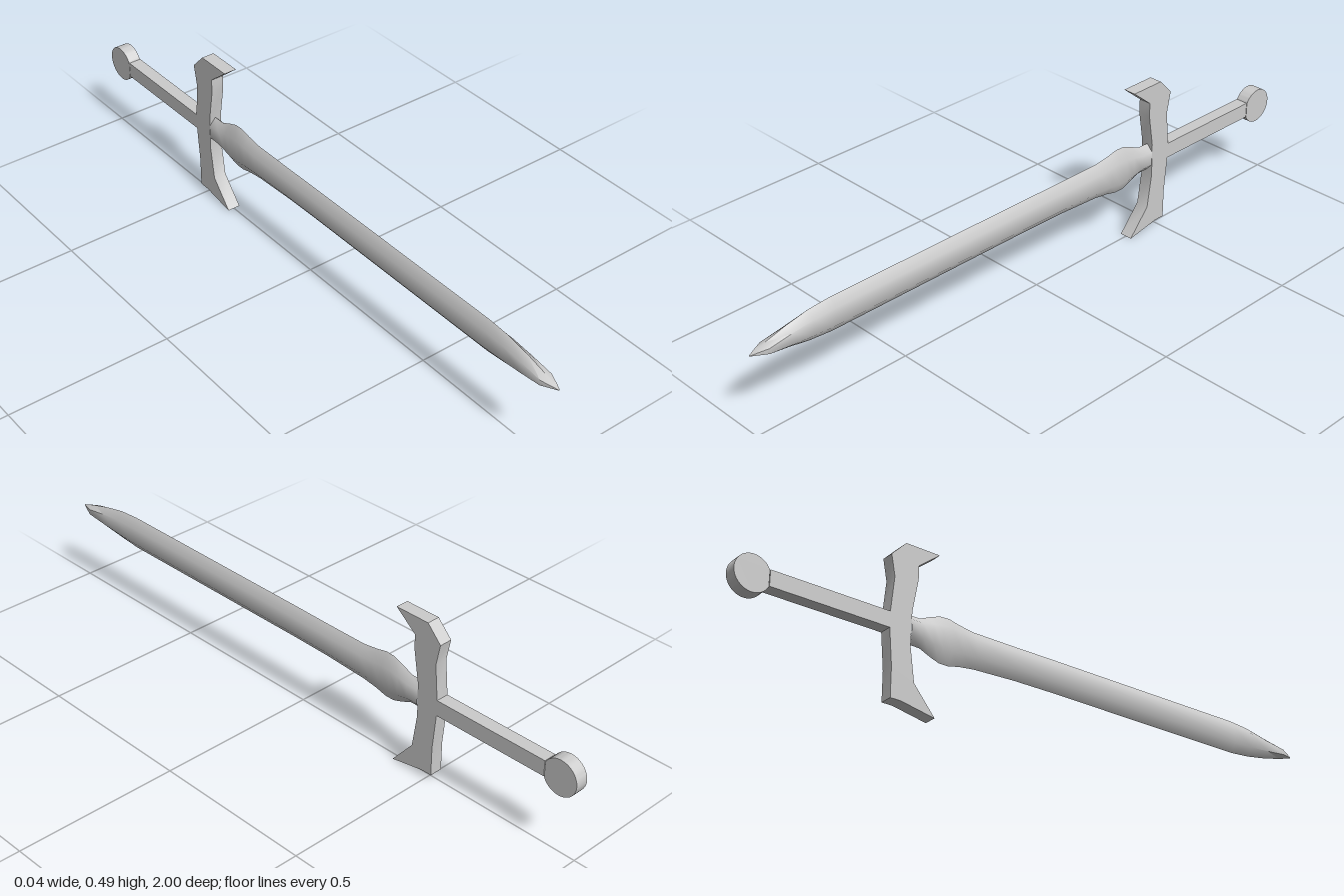
import * as THREE from 'three';
import { toCreasedNormals } from 'three/addons/utils/BufferGeometryUtils.js';

const HALF = 0.02; // half thickness of the whole sword
const material = new THREE.MeshStandardMaterial({ color: 0xcccccc });

function addPart(group, name, geometry, crease) {
  const mesh = new THREE.Mesh(toCreasedNormals(geometry, crease), material);
  mesh.name = name;
  group.add(mesh);
}

// Extrudes a (z, y) outline across the thickness
function slab(shape) {
  const g = new THREE.ExtrudeGeometry(shape, { depth: HALF * 2, bevelEnabled: false, curveSegments: 20 });
  g.translate(0, 0, -HALF);
  g.rotateY(-Math.PI / 2);
  return g;
}

const outline = (points) => new THREE.Shape(points.map(([z, y]) => new THREE.Vector2(z, y)));

// Lofts six-sided blade sections: [z, top, bottom, half thickness]
function bladeGeometry(stations) {
  const pos = [], index = [];
  stations.forEach(([z, top, bottom, w], s) => {
    const c = (top + bottom) / 2, flat = (top - bottom) / 2 * 0.5;
    pos.push(0, top, z, -w, c + flat, z, -w, c - flat, z, 0, bottom, z, w, c - flat, z, w, c + flat, z);
    if (s === 0) return;
    for (let i = 0; i < 6; i++) {
      const j = (i + 1) % 6, a = (s - 1) * 6, d = s * 6;
      index.push(a + i, a + j, d + j, a + i, d + j, d + i);
    }
  });
  const g = new THREE.BufferGeometry();
  g.setAttribute('position', new THREE.Float32BufferAttribute(pos, 3));
  g.setIndex(index);
  return g;
}

export function createModel() {
  const sword = new THREE.Group();
  sword.name = 'sword';

  // Blade: narrow neck, flared bulge, long parallel run, pointed tip
  addPart(sword, 'blade', bladeGeometry([
    [-0.46, 0.287, 0.200, HALF],
    [-0.42, 0.288, 0.199, HALF],
    [-0.385, 0.304, 0.184, HALF],
    [-0.355, 0.315, 0.174, HALF],
    [-0.325, 0.317, 0.174, HALF],
    [-0.29, 0.309, 0.183, HALF],
    [-0.24, 0.302, 0.190, HALF],
    [-0.10, 0.302, 0.197, HALF],
    [0.03, 0.303, 0.199, HALF],
    [0.74, 0.305, 0.200, HALF],
    [0.81, 0.300, 0.206, HALF],
    [0.88, 0.286, 0.218, HALF],
    [0.95, 0.267, 0.234, HALF],
    [0.98, 0.258, 0.243, 0.009],
    [1.0, 0.251, 0.249, 0.001],
  ]), 0.9);

  // Crossguard with hooked ends swept towards the tip
  addPart(sword, 'crossguard', slab(outline([
    [-0.375, 0.488], [-0.487, 0.488], [-0.533, 0.44], [-0.52, 0.375], [-0.53, 0.268],
    [-0.53, 0.22], [-0.52, 0.11], [-0.52, 0.02], [-0.487, 0.02], [-0.378, 0],
    [-0.447, 0.082], [-0.462, 0.185], [-0.46, 0.29], [-0.443, 0.39], [-0.443, 0.433],
  ])), 0.6);

  // Grip
  addPart(sword, 'grip', slab(outline([
    [-0.53, 0.268], [-0.896, 0.268], [-0.896, 0.22], [-0.53, 0.22],
  ])), 0.6);

  // Round flat pommel
  const disc = new THREE.Shape();
  const start = Math.PI * 0.15;
  disc.absarc(-0.946, 0.242, 0.054, start, Math.PI * 2 - start, false);
  disc.closePath();
  addPart(sword, 'pommel', slab(disc), 0.6);

  return sword;
}
